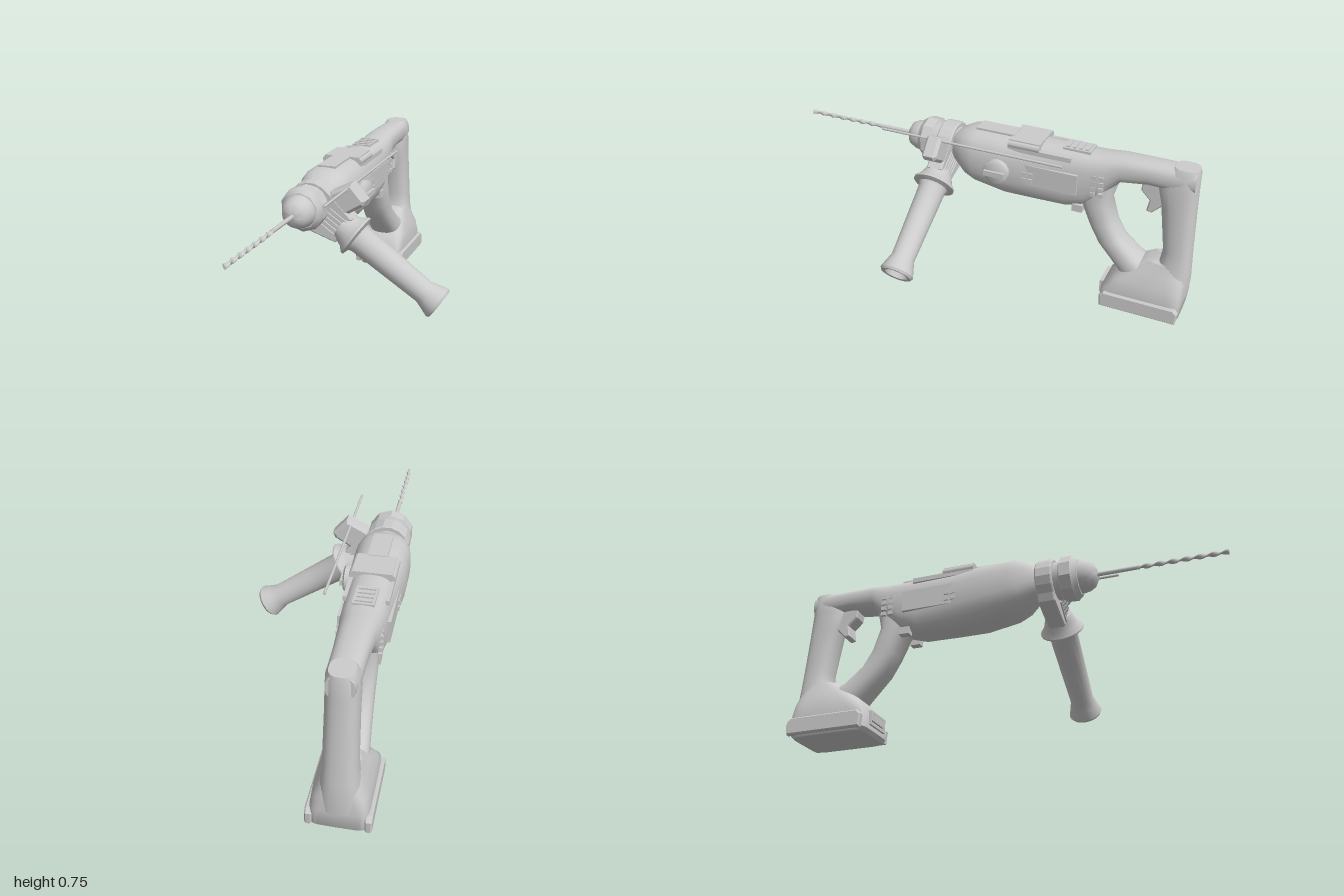
import * as THREE from 'three';
import { toCreasedNormals } from 'three/addons/utils/BufferGeometryUtils.js';

const CX = -0.25, AXIS_Y = 0.637; // drill axis
const material = new THREE.MeshStandardMaterial({ color: 0xcccccc, side: THREE.DoubleSide });

function add(parent, name, geometry, x = 0, y = 0, z = 0) {
  const mesh = new THREE.Mesh(geometry, material);
  mesh.name = name;
  mesh.position.set(x, y, z);
  parent.add(mesh);
  return mesh;
}

// Skin over rounded sections; each is [z, y of one edge, z, y of the opposite edge, half width, squareness]
function loft(sections, sides = 24) {
  const pos = [], index = [];
  const sp = (v, e) => Math.sign(v) * Math.abs(v) ** e;
  for (const [za, ya, zb, yb, w, n = 2.6] of sections) {
    for (let i = 0; i < sides; i++) {
      const t = (i / sides) * Math.PI * 2;
      const s = sp(Math.sin(t), 2 / n) / 2;
      pos.push(w * sp(Math.cos(t), 2 / n), (ya + yb) / 2 + (yb - ya) * s, (za + zb) / 2 + (zb - za) * s);
    }
  }
  const last = sections.length - 1;
  for (let j = 0; j < last; j++) {
    for (let i = 0; i < sides; i++) {
      const k = (i + 1) % sides, a = j * sides + i, b = j * sides + k;
      index.push(a, b, a + sides, b, b + sides, a + sides);
    }
  }
  for (const j of [0, last]) {
    const [za, ya, zb, yb] = sections[j], c = pos.length / 3;
    pos.push(0, (ya + yb) / 2, (za + zb) / 2);
    for (let i = 0; i < sides; i++) {
      const a = j * sides + i, b = j * sides + (i + 1) % sides;
      if (j) index.push(c, a, b); else index.push(c, b, a);
    }
  }
  // Turn the faces outward if the enclosed volume is negative
  const p = (i) => new THREE.Vector3().fromArray(pos, i * 3);
  let volume = 0;
  for (let i = 0; i < index.length; i += 3) volume += p(index[i]).dot(p(index[i + 1]).cross(p(index[i + 2])));
  if (volume < 0) index.reverse();
  const g = new THREE.BufferGeometry();
  g.setAttribute('position', new THREE.Float32BufferAttribute(pos, 3));
  g.setIndex(index);
  return toCreasedNormals(g, 0.75);
}

function lathe(profile, sides) {
  const g = new THREE.LatheGeometry(profile.map(([r, y]) => new THREE.Vector2(r, y)), sides);
  return toCreasedNormals(g, 0.6);
}

function extrude(points, depth, bevel = 0.006) {
  const shape = new THREE.Shape(points.map(([x, y]) => new THREE.Vector2(x, y)));
  const g = new THREE.ExtrudeGeometry(shape, {
    depth: depth - 2 * bevel, bevelThickness: bevel, bevelSize: bevel, bevelOffset: -bevel, bevelSegments: 1,
  });
  return g.translate(0, 0, bevel - depth / 2);
}

const box = (w, h, d) => new THREE.BoxGeometry(w, h, d);

function addHousing(g) {
  const along = (z, bottom, top, w, n) => [z, bottom, z, top, w, n];
  add(g, 'motorHousing', loft([
    along(0.175, 0.57, 0.705, 0.075, 2.2), along(0.15, 0.555, 0.72, 0.092), along(0.1, 0.51, 0.745, 0.118),
    along(0.05, 0.485, 0.752, 0.126), along(-0.1, 0.456, 0.752, 0.124), along(-0.24, 0.452, 0.748, 0.11),
    along(-0.4, 0.457, 0.745, 0.1, 3), along(-0.49, 0.485, 0.744, 0.095, 3), along(-0.57, 0.55, 0.75, 0.085),
    along(-0.64, 0.63, 0.756, 0.075), along(-0.76, 0.645, 0.757, 0.068), along(-0.9, 0.64, 0.757, 0.065),
    along(-0.965, 0.65, 0.752, 0.055),
  ]));
  add(g, 'rearGrip', loft([
    [-0.86, 0.757, -0.97, 0.755, 0.05], [-0.83, 0.73, -0.975, 0.73, 0.062], [-0.8, 0.65, -0.977, 0.65, 0.066],
    [-0.825, 0.56, -0.98, 0.56, 0.066], [-0.86, 0.34, -0.99, 0.34, 0.07],
    [-0.85, 0.26, -0.995, 0.26, 0.075], [-0.8, 0.18, -1.0, 0.18, 0.09], [-0.75, 0.1, -0.995, 0.1, 0.1],
  ]));
  add(g, 'frontStrut', loft([
    [-0.42, 0.54, -0.63, 0.63, 0.07], [-0.475, 0.47, -0.6, 0.52, 0.077], [-0.515, 0.38, -0.635, 0.41, 0.074],
    [-0.56, 0.3, -0.68, 0.335, 0.074], [-0.66, 0.19, -0.76, 0.265, 0.08], [-0.72, 0.11, -0.86, 0.22, 0.09],
  ]));
  const trigger = add(g, 'trigger', extrude([
    [-0.73, 0.66], [-0.735, 0.61], [-0.775, 0.57], [-0.765, 0.515], [-0.79, 0.51], [-0.84, 0.56], [-0.84, 0.66],
  ], 0.07));
  trigger.rotation.y = -Math.PI / 2;

  // Mode lever plate and the stem that runs forward from it
  add(g, 'topPlate', box(0.17, 0.025, 0.15), 0, 0.743, -0.195);
  add(g, 'topStem', box(0.085, 0.02, 0.19), 0, 0.748, -0.035);
  add(g, 'topVentFrame', box(0.09, 0.016, 0.13), 0, 0.742, -0.43);
  for (let i = 0; i < 4; i++) add(g, 'topVentSlat', box(0.07, 0.008, 0.014), 0, 0.752, -0.385 - i * 0.03);

  for (const s of [-1, 1]) {
    const ear = add(g, 'plateEar', new THREE.CylinderGeometry(0.019, 0.019, 0.15, 10), s * 0.08, 0.733, -0.195);
    ear.rotation.x = Math.PI / 2;
    add(g, 'sideRail', box(0.016, 0.022, 0.3), s * 0.087, 0.715, -0.27);
    add(g, 'sidePanel', box(0.02, 0.1, 0.3), s * 0.1, 0.605, -0.31);
    add(g, 'lowerLug', box(0.035, 0.035, 0.05), s * 0.06, 0.473, -0.46);
    for (let i = 0; i < 4; i++) {
      for (const z of [-0.53, -0.565]) add(g, 'sideVent', box(0.014, 0.018, 0.022), s * 0.085, 0.57 + i * 0.028, z);
    }
    for (const y of [0.58, 0.61]) {
      for (const z of [-0.21, -0.24]) add(g, 'sideWindow', box(0.01, 0.02, 0.022), s * 0.112, y, z);
    }
  }

  // Mode dial on the left flank
  const dial = add(g, 'modeDial', lathe([[0.062, 0], [0.062, 0.025], [0.05, 0.033], [0, 0.033]], 16), 0.118, 0.6, -0.08);
  dial.rotation.z = -Math.PI / 2;
  add(g, 'dialGrip', box(0.028, 0.025, 0.1), 0.15, 0.6, -0.08);
}

function addBattery(g) {
  const level = (y, z0, z1, w, n = 5) => [z0, y, z1, y, w, n];
  add(g, 'batteryBase', loft([
    level(0.275, -0.8, -0.97, 0.07, 3), level(0.22, -0.72, -0.985, 0.09, 3.5), level(0.165, -0.66, -0.988, 0.113),
    level(0.1, -0.61, -0.988, 0.121, 8), level(0.02, -0.605, -0.985, 0.121, 8), level(0.003, -0.62, -0.97, 0.112, 8),
  ], 32));
  for (const s of [-1, 1]) {
    const rail = add(g, 'batteryRail', extrude([
      [-0.62, 0.012], [-0.615, 0.07], [-0.635, 0.09], [-0.965, 0.09], [-0.985, 0.07], [-0.98, 0.012],
    ], 0.03), s * 0.12);
    rail.rotation.y = -Math.PI / 2;
  }
  // Release latch on the front
  for (const y of [0.045, 0.1]) add(g, 'latchFrame', box(0.13, 0.01, 0.024), 0, y, -0.609);
  for (const s of [-1, 1]) add(g, 'latchFrame', box(0.01, 0.06, 0.024), s * 0.06, 0.072, -0.609);
  add(g, 'latchButton', box(0.11, 0.035, 0.02), 0, 0.08, -0.608);
}

function addChuck(g) {
  const chuck = new THREE.Group();
  chuck.name = 'chuck';
  chuck.position.y = AXIS_Y;
  chuck.rotation.x = Math.PI / 2;
  g.add(chuck);
  add(chuck, 'chuckNose', lathe([
    [0.074, 0.32], [0.074, 0.36], [0.068, 0.39], [0.055, 0.415], [0.03, 0.43], [0, 0.434],
  ], 20));
  add(chuck, 'chuckRing', lathe([
    [0.08, 0.27], [0.1, 0.28], [0.102, 0.33], [0.092, 0.342], [0.082, 0.355], [0.072, 0.357],
  ], 10));
  add(chuck, 'chuckCollar', lathe([[0.076, 0.14], [0.08, 0.18], [0.086, 0.25], [0.086, 0.285]], 16));

  // Drill bit: plain shank, then a flattened, twisted spiral
  add(chuck, 'bitShank', new THREE.CylinderGeometry(0.009, 0.01, 0.2, 10), 0, 0.52, 0);
  const spiral = new THREE.CylinderGeometry(0.012, 0.012, 0.39, 10, 60);
  const p = spiral.attributes.position;
  for (let i = 0; i < p.count; i++) {
    const x = p.getX(i), y = p.getY(i), z = p.getZ(i) * 0.45, a = y * 55;
    p.setXYZ(i, x * Math.cos(a) - z * Math.sin(a), y, x * Math.sin(a) + z * Math.cos(a));
  }
  spiral.computeVertexNormals();
  add(chuck, 'bitSpiral', spiral, 0, 0.805, 0);
}

function addSideHandle(g) {
  // Local +y runs from the drill axis down the handle
  const handle = new THREE.Group();
  handle.name = 'sideHandle';
  handle.position.set(0, AXIS_Y, 0.208);
  handle.rotation.z = -2.179;
  g.add(handle);
  const back = Array.from({ length: 9 }, (_, i) => {
    const t = Math.PI + (i / 8) * Math.PI;
    return [0.102 * Math.cos(t), 0.102 * Math.sin(t)];
  });
  add(handle, 'clampNeck', extrude([...back, [0.122, 0.03], [0.075, 0.19], [-0.068, 0.19], [-0.1, 0.03]], 0.078));
  for (let i = 0; i < 5; i++) {
    for (const s of [-1, 1]) add(handle, 'clampRib', box(0.009, 0.11, 0.014), -0.042 + i * 0.022, 0.135, s * 0.039);
  }
  add(handle, 'handleGrip', lathe([
    [0, 0.165], [0.06, 0.165], [0.07, 0.19], [0.08, 0.215], [0.1, 0.238], [0.1, 0.246], [0.072, 0.254],
    [0.065, 0.27], [0.061, 0.42], [0.055, 0.63], [0.066, 0.665], [0.079, 0.705], [0.072, 0.716],
    [0.056, 0.714], [0.046, 0.69], [0, 0.69],
  ], 20));

  // Depth stop held by a block on the upper side
  add(g, 'rodHolder', extrude([
    [0.06, 0.67], [0.095, 0.7], [0.19, 0.747], [0.255, 0.672], [0.245, 0.648], [0.17, 0.603], [0.08, 0.6],
  ], 0.075, 0.014), 0, 0, 0.208);
  const rod = add(g, 'depthRod', new THREE.CylinderGeometry(0.006, 0.006, 0.9, 8), 0.172, 0.72, 0.04);
  rod.rotation.x = Math.PI / 2;
}

export function createModel() {
  const model = new THREE.Group();
  model.name = 'rotaryHammer';
  const body = new THREE.Group();
  body.name = 'tool';
  body.position.x = CX;
  model.add(body);
  addHousing(body);
  addBattery(body);
  addChuck(body);
  addSideHandle(body);
  return model;
}
